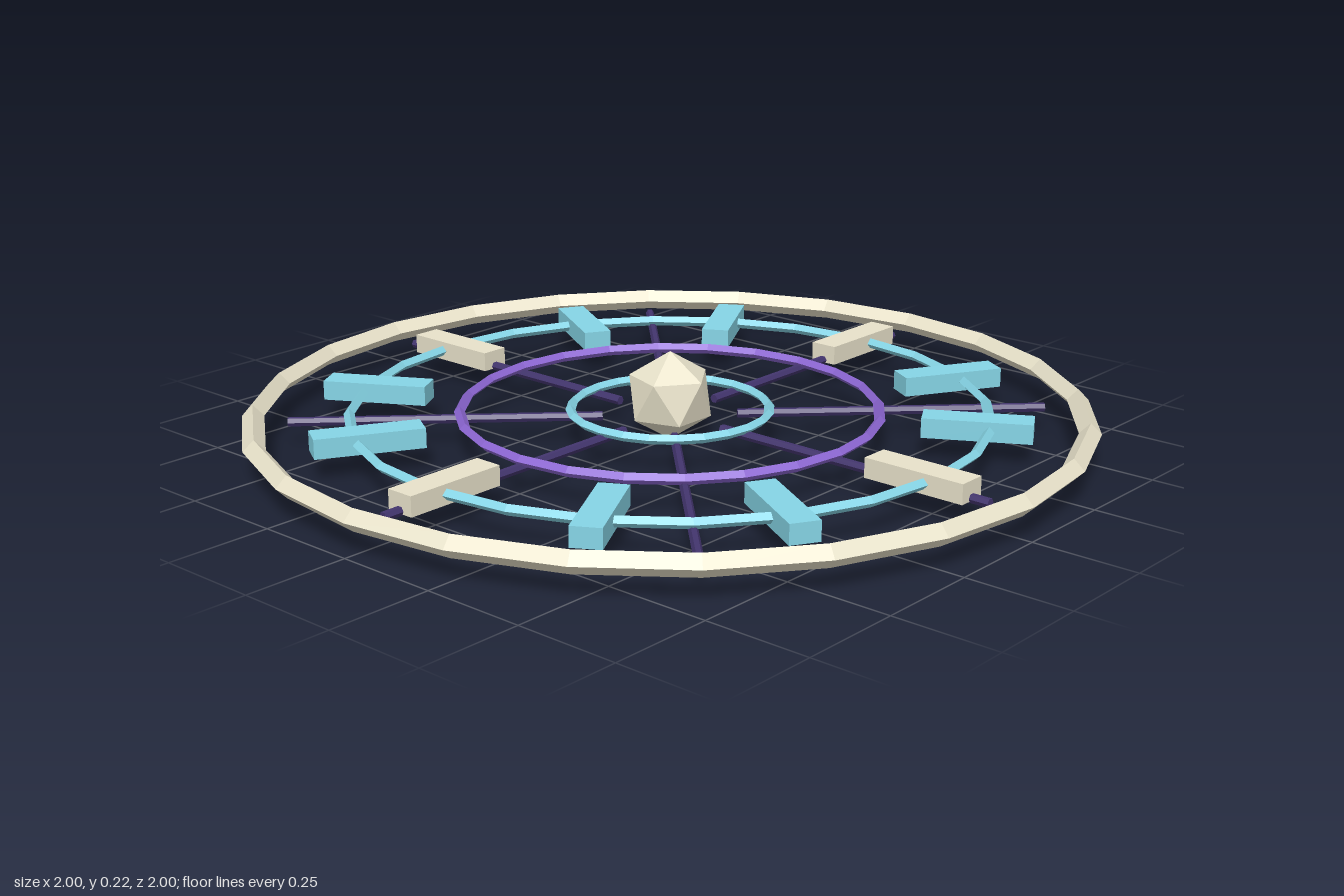
import * as THREE from 'three';

const MID = 0.08; // height of the wheel's middle plane

const paint = (color) => new THREE.MeshStandardMaterial({ color, flatShading: true });

export function createModel() {
  const model = new THREE.Group();
  const cream = paint(0xe8e2ca);
  const cyan = paint(0x86d5e6);
  const purple = paint(0x8c66d2);
  const darkPurple = paint(0x43356e);

  const add = (name, geometry, material, parent = model) => {
    const mesh = new THREE.Mesh(geometry, material);
    mesh.name = name;
    parent.add(mesh);
    return mesh;
  };

  // Concentric rings with a diamond section
  const rings = [
    ['outerRim', 0.974, 0.026, cream],
    ['panelRing', 0.752, 0.013, cyan],
    ['middleRing', 0.495, 0.013, purple],
    ['innerRing', 0.235, 0.012, cyan],
  ];
  for (const [name, radius, tube, material] of rings) {
    const ring = add(name, new THREE.TorusGeometry(radius, tube, 4, 24), material);
    ring.rotation.x = Math.PI / 2;
    ring.position.y = MID;
  }

  // Eight spokes, slightly below the rings
  const spokes = new THREE.Group();
  spokes.name = 'spokes';
  model.add(spokes);
  const spokeGeometry = new THREE.CylinderGeometry(0.011, 0.011, 0.735, 6)
    .rotateZ(Math.PI / 2)
    .translate(0.527, 0.063, 0);
  for (let i = 0; i < 8; i++) {
    add('spoke', spokeGeometry, darkPurple, spokes).rotation.y = (i * Math.PI) / 4;
  }

  // Twelve radial blocks, every third one cream
  const blocks = new THREE.Group();
  blocks.name = 'blocks';
  model.add(blocks);
  const blockGeometry = new THREE.BoxGeometry(0.255, 0.047, 0.07).translate(0.72, MID, 0);
  for (let i = 0; i < 12; i++) {
    const main = i % 3 === 0;
    add(main ? 'mainBlock' : 'block', blockGeometry, main ? cream : cyan, blocks)
      .rotation.y = (i * Math.PI) / 6;
  }

  // Faceted core standing on one of its points
  const core = add('core', new THREE.IcosahedronGeometry(0.108, 0), cream);
  core.rotation.z = -Math.atan2(2, 1 + Math.sqrt(5));
  core.position.y = 0.111;

  return model;
}
